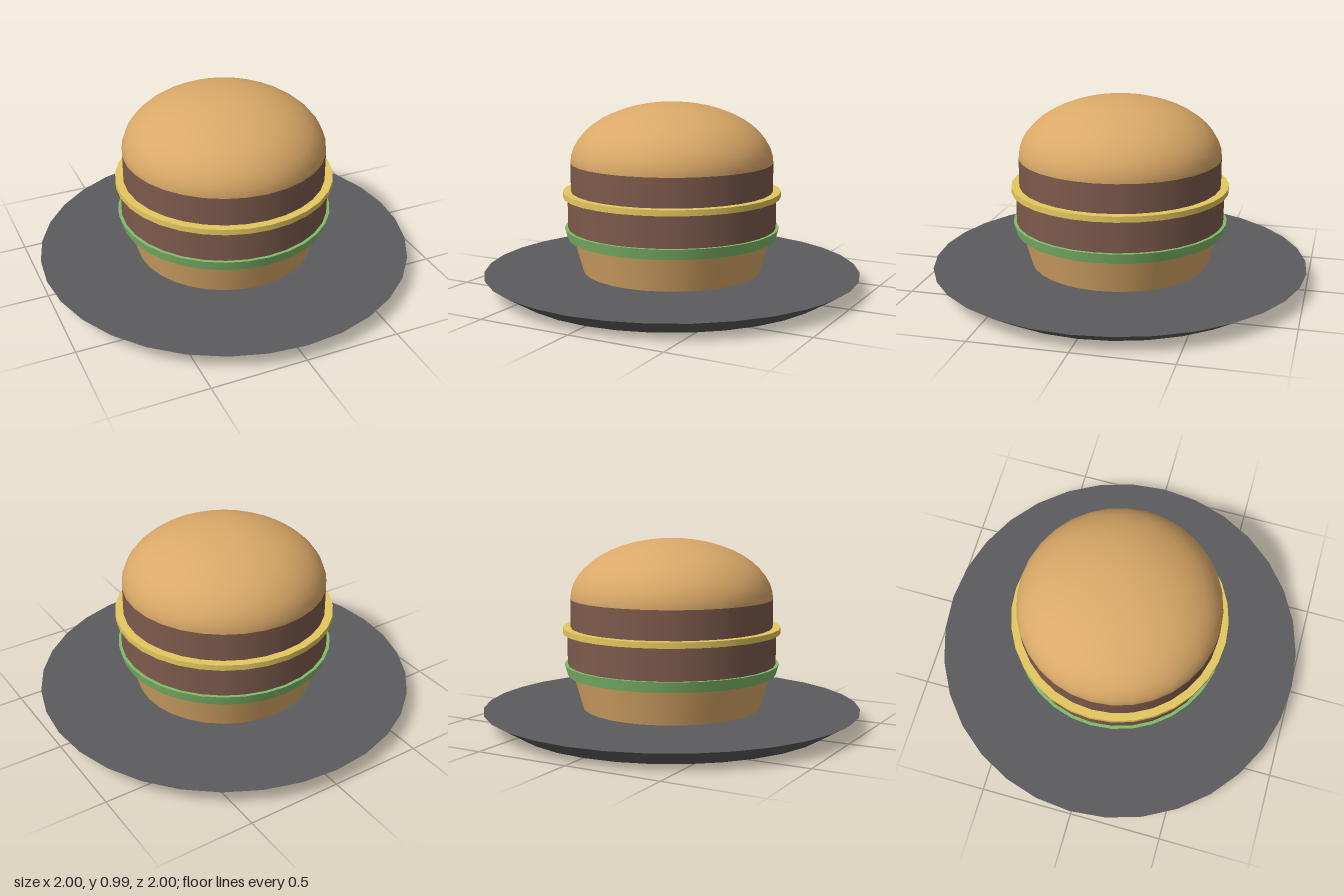
import * as THREE from 'three';

const SIDES = 32;
const BUN = 0xdba968, PATTY = 0x7d5a4c, CHEESE = 0xe3c75f, LETTUCE = 0x80ba6b, PLATE = 0x5c5c5e;

function addPart(group, name, geometry, color, y) {
  const mesh = new THREE.Mesh(geometry, new THREE.MeshStandardMaterial({ color }));
  mesh.name = name;
  mesh.position.y = y;
  group.add(mesh);
}

export function createModel() {
  const group = new THREE.Group();
  group.name = 'burgerOnPlate';

  // Stacked round layers: name, colour, bottom radius, top radius, bottom y, top y
  const layers = [
    ['plate', PLATE, 0.85, 1, 0, 0.09],
    ['bottomBun', BUN, 0.475, 0.525, 0.09, 0.27],
    ['lettuce', LETTUCE, 0.555, 0.57, 0.27, 0.325],
    ['lowerPatty', PATTY, 0.553, 0.553, 0.325, 0.49],
    ['cheese', CHEESE, 0.577, 0.577, 0.49, 0.52],
    ['upperPatty', PATTY, 0.535, 0.535, 0.52, 0.67],
  ];
  for (const [name, color, rBottom, rTop, y0, y1] of layers) {
    const geometry = new THREE.CylinderGeometry(rTop, rBottom, y1 - y0, SIDES);
    addPart(group, name, geometry, color, (y0 + y1) / 2);
  }

  // Domed top bun: a flattened half sphere
  const dome = new THREE.SphereGeometry(0.535, SIDES, 12, 0, Math.PI * 2, 0, Math.PI / 2);
  dome.scale(1, 0.315 / 0.535, 1);
  addPart(group, 'topBun', dome, BUN, 0.67);

  return group;
}
